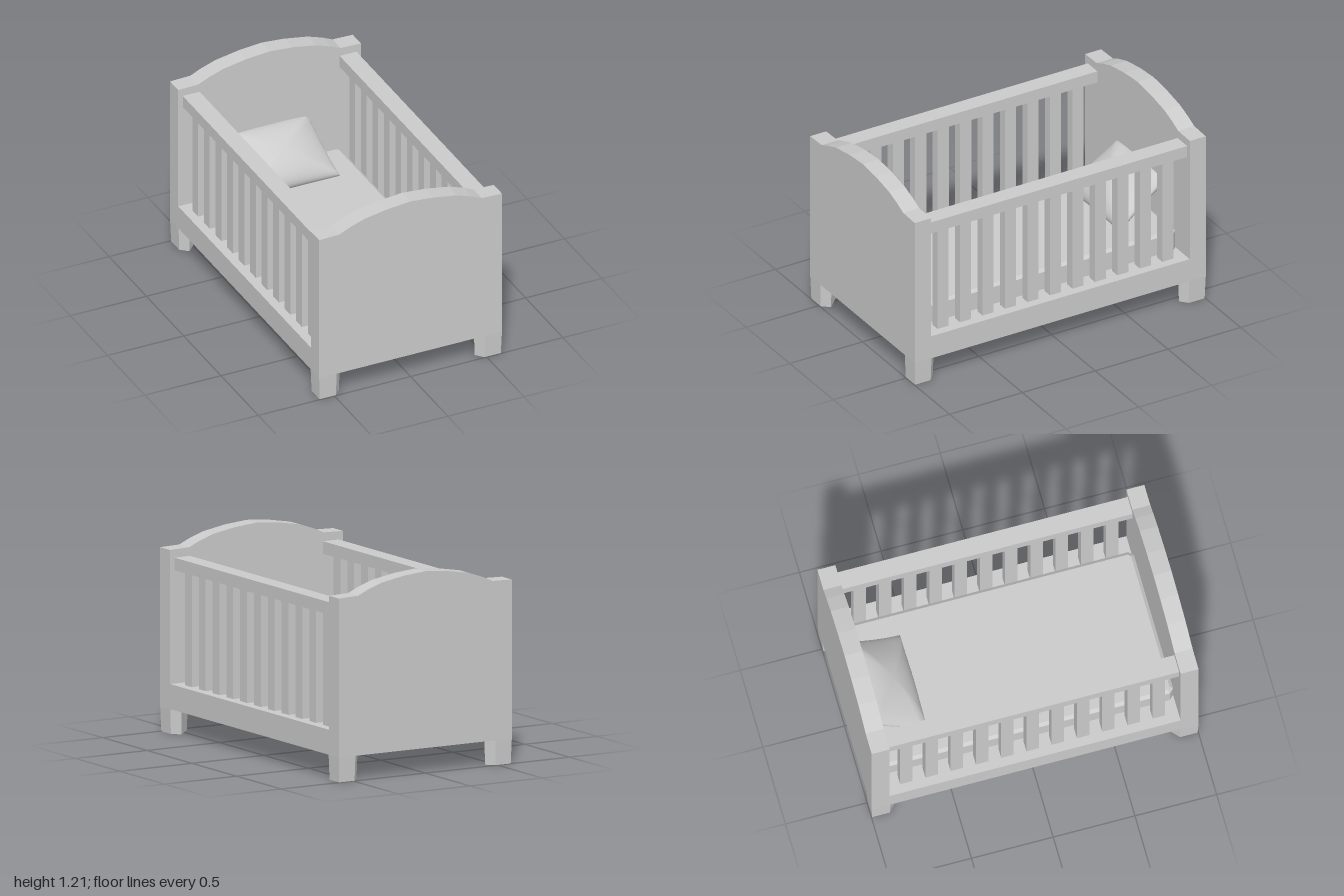
import * as THREE from 'three';
import { mergeVertices } from 'three/addons/utils/BufferGeometryUtils.js';

const material = new THREE.MeshStandardMaterial({ color: 0xcccccc });

function add(parent, name, geometry, x = 0, y = 0, z = 0) {
  const mesh = new THREE.Mesh(geometry, material);
  mesh.name = name;
  mesh.position.set(x, y, z);
  parent.add(mesh);
  return mesh;
}

const polygon = (points) => new THREE.Shape(points.map(([x, y]) => new THREE.Vector2(x, y)));

// End board: flat shoulders and a faceted arch
function endBoardGeometry() {
  const half = [[0.6, 0.15], [0.6, 1.103], [0.467, 1.107], [0.4, 1.137], [0.305, 1.17], [0.15, 1.197]];
  const mirrored = half.map(([x, y]) => [-x, y]).reverse();
  const shape = polygon([...half, [0, 1.21], ...mirrored]);
  return new THREE.ExtrudeGeometry(shape, { depth: 0.11, bevelEnabled: false });
}

// Five-sided foot, its outer corner at the origin, narrowing downwards
function footGeometry() {
  const shape = polygon([[0, 0], [0, 0.115], [-0.05, 0.16], [-0.16, 0.05], [-0.115, 0]].reverse());
  const geometry = new THREE.ExtrudeGeometry(shape, { depth: 0.15, bevelEnabled: false });
  geometry.rotateX(-Math.PI / 2);
  const p = geometry.attributes.position;
  for (let i = 0; i < p.count; i++) {
    const k = p.getY(i) < 0.01 ? 0.93 : 1;
    p.setX(i, -0.07 + (p.getX(i) + 0.07) * k);
    p.setZ(i, -0.07 + (p.getZ(i) + 0.07) * k);
  }
  geometry.computeVertexNormals();
  return geometry;
}

// Mattress: block with cut corners and a bevelled rim
function mattressGeometry() {
  const x = 0.44, z = 0.87, c = 0.015, bevel = 0.02;
  const shape = polygon([
    [x - c, -z], [x, -z + c], [x, z - c], [x - c, z],
    [-x + c, z], [-x, z - c], [-x, -z + c], [-x + c, -z],
  ]);
  const geometry = new THREE.ExtrudeGeometry(shape, {
    depth: 0.12, bevelSize: bevel, bevelThickness: 0.015, bevelSegments: 1,
  });
  return geometry.rotateX(-Math.PI / 2);
}

// Pillow: sphere stretched to a square outline, pinched towards its corners
function pillowGeometry() {
  let geometry = new THREE.SphereGeometry(1, 48, 32);
  geometry.deleteAttribute('uv');
  geometry.deleteAttribute('normal');
  geometry = mergeVertices(geometry, 1e-4);
  const p = geometry.attributes.position;
  for (let i = 0; i < p.count; i++) {
    const x = p.getX(i), y = p.getY(i), z = p.getZ(i);
    const stretch = Math.pow(Math.hypot(x, z) / Math.max(Math.abs(x), Math.abs(z), 1e-6), 0.95);
    const u = x * stretch, v = z * stretch;
    const crease = 1 + 0.06 * Math.sin(5 * u + 2 * v) * (u * u + v * v) / 2;
    p.setXYZ(i,
      u * (0.295 + 0.02 * v) * (1 - 0.05 * (1 - v * v)),
      y * 0.1 * crease * (1 - 0.3 * u * u),
      v * 0.22 * (1 - 0.03 * (1 - u * u)));
  }
  geometry.computeVertexNormals();
  return geometry;
}

export function createModel() {
  const crib = new THREE.Group();
  crib.name = 'crib';

  // Head and foot boards
  const board = endBoardGeometry();
  add(crib, 'footBoard', board, 0, 0, 0.89);
  add(crib, 'headBoard', board, 0, 0, -1);

  // Feet at the four corners
  const foot = footGeometry();
  [[0.6, 1], [0.6, -1], [-0.6, -1], [-0.6, 1]].forEach(([x, z], i) => {
    add(crib, 'foot', foot, x, 0, z).rotation.y = i * Math.PI / 2;
  });

  // Base, closed underneath
  add(crib, 'base', new THREE.BoxGeometry(1.2, 0.15, 1.78), 0, 0.225, 0);

  // Side rails and slats
  const rail = new THREE.BoxGeometry(0.11, 0.075, 1.78);
  const slat = new THREE.BoxGeometry(0.06, 0.68, 0.076);
  for (const side of [1, -1]) {
    const group = new THREE.Group();
    group.name = side > 0 ? 'leftSide' : 'rightSide';
    crib.add(group);
    add(group, 'topRail', rail, side * 0.515, 1.017, 0);
    for (let i = -5; i <= 5; i++) add(group, 'slat', slat, side * 0.515, 0.64, i * 0.1545);
  }

  // Bedding, with the pillow leaning on the head board
  add(crib, 'mattress', mattressGeometry(), 0, 0.295, 0);
  add(crib, 'pillow', pillowGeometry(), 0, 0.56, -0.76).rotation.x = 0.6;

  return crib;
}
